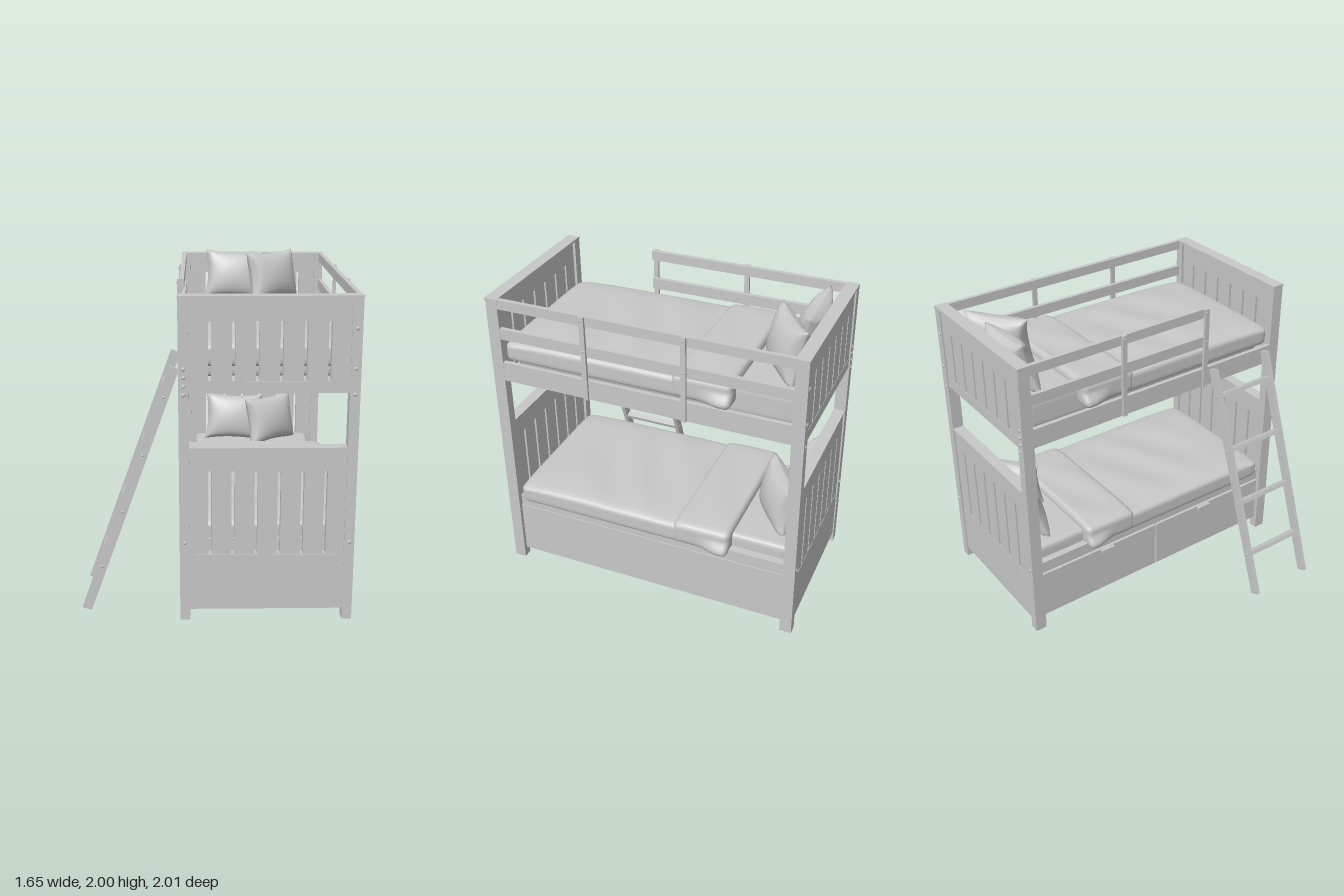
import * as THREE from 'three';
import { mergeVertices } from 'three/addons/utils/BufferGeometryUtils.js';

const grey = new THREE.MeshStandardMaterial({ color: 0xc8c8c8 });
grey.name = 'grey';

function add(parent, name, geometry) {
  const mesh = new THREE.Mesh(geometry, grey);
  mesh.name = name;
  parent.add(mesh);
  return mesh;
}

// Box given by its minimum and maximum corners
function box(parent, name, x0, x1, y0, y1, z0, z1) {
  const mesh = add(parent, name, new THREE.BoxGeometry(x1 - x0, y1 - y0, z1 - z0));
  mesh.position.set((x0 + x1) / 2, (y0 + y1) / 2, (z0 + z1) / 2);
}

// Flat domed bolt head, its thin axis being 'x' or 'z'
function bolt(parent, x, y, z, axis, radius = 0.012) {
  const mesh = add(parent, 'bolt', new THREE.SphereGeometry(radius, 10, 6));
  mesh.position.set(x, y, z);
  mesh.scale[axis] = 0.6;
}

// Moves every vertex by a rule, then recomputes smooth normals
function reshape(geometry, rule) {
  geometry.deleteAttribute('uv');
  geometry.deleteAttribute('normal');
  const g = mergeVertices(geometry);
  const p = g.attributes.position;
  const v = new THREE.Vector3();
  for (let i = 0; i < p.count; i++) {
    rule(v.fromBufferAttribute(p, i));
    p.setXYZ(i, v.x, v.y, v.z);
  }
  g.computeVertexNormals();
  return g;
}

// Rounded soft slab: crowned top, wrinkles, and side flare near its back edge
function soft(parent, name, x0, x1, y0, y1, z0, z1, r, crown = 0, wrinkle = 0, flare = 0) {
  const half = new THREE.Vector3(x1 - x0, y1 - y0, z1 - z0).multiplyScalar(0.5);
  const inner = half.clone().subScalar(r);
  const low = inner.clone().negate();
  const core = new THREE.Vector3();
  const g = new THREE.BoxGeometry(half.x * 2, half.y * 2, half.z * 2, 50, 10, 50);
  const mesh = add(parent, name, reshape(g, (v) => {
    core.copy(v).clamp(low, inner);
    v.sub(core).normalize().multiplyScalar(r).add(core);
    const ex = Math.abs(v.x) / half.x, ez = v.z / half.z;
    if (v.y > 0) {
      const up = v.y / half.y;
      v.y -= up * crown * (ex ** 6 + Math.max(ez, 0) ** 5);
      v.y += up * wrinkle * (1 - ex ** 4) * (1 - ez ** 4)
        * (Math.sin(9 * v.x + 6 * Math.sin(3 * v.z)) * 0.5 + Math.sin(17 * v.z + 5 * v.x) * 0.3 - 0.4);
    }
    const back = THREE.MathUtils.smoothstep(-ez, -0.2, 0.7);
    const down = THREE.MathUtils.smoothstep(-v.y / half.y, -0.2, 0.6);
    if (ex > 0.9) v.x += Math.sign(v.x) * flare * back * down;
  }));
  mesh.position.set((x0 + x1) / 2, (y0 + y1) / 2, (z0 + z1) / 2);
}

// Plump cushion with pinched sides and pointed corners
function pillow(parent, x, y, z, w, h, t, lean, turn, roll) {
  const g = reshape(new THREE.BoxGeometry(2, 2, 2, 24, 24, 1), (v) => {
    const a = 1 - v.x * v.x, b = 1 - v.y * v.y;
    const depth = 0.006 + t / 2 * (a * b) ** 0.42;
    v.set(v.x * w / 2 * (1 - 0.12 * b), v.y * h / 2 * (1 - 0.12 * a), Math.sign(v.z) * depth);
  });
  const mesh = add(parent, 'pillow', g);
  mesh.position.set(x, y, z);
  mesh.rotation.set(lean, turn, roll, 'YXZ');
}

// End panel with six open slots
function endPanel(parent, name, y0, y1, slot0, slot1, z) {
  const s = new THREE.Shape();
  s.moveTo(-0.46, y0).lineTo(0.46, y0).lineTo(0.46, y1).lineTo(-0.46, y1).closePath();
  for (let i = 0; i < 6; i++) {
    const c = (i - 2.5) * 0.135, w = 0.009;
    const hole = new THREE.Path();
    hole.moveTo(c - w, slot0).lineTo(c - w, slot1).lineTo(c + w, slot1).lineTo(c + w, slot0).closePath();
    s.holes.push(hole);
  }
  const g = new THREE.ExtrudeGeometry(s, { depth: 0.048, bevelEnabled: false });
  g.translate(0, 0, z - 0.024);
  add(parent, name, g);
}

// Mattress, duvet, folded cover and two pillows, raised by dy
function bedding(parent, dy) {
  const g = new THREE.Group();
  g.name = 'bedding';
  g.position.y = dy;
  parent.add(g);
  soft(g, 'mattress', -0.425, 0.422, 0.4, 0.59, -0.92, 0.88, 0.03);
  soft(g, 'duvet', -0.492, 0.494, 0.465, 0.62, -0.53, 0.912, 0.036, 0.022, 0.008);
  soft(g, 'foldedCover', -0.497, 0.5, 0.47, 0.642, -0.555, -0.18, 0.038, 0.018, 0.006, 0.036);
  pillow(g, -0.137, 0.745, -0.82, 0.43, 0.35, 0.17, -0.26, 0.03, -0.05);
  pillow(g, 0.133, 0.748, -0.755, 0.42, 0.355, 0.18, -0.22, 0.64, 0);
}

export function createModel() {
  const model = new THREE.Group();
  model.name = 'bunkBed';
  const bed = new THREE.Group();
  bed.name = 'bed';
  bed.position.x = 0.287;
  model.add(bed);

  // Posts, end panels and caps
  for (const e of [-1, 1]) {
    const z = e * 0.958;
    for (const s of [-1, 1]) {
      box(bed, 'post', s * 0.485 - 0.03, s * 0.485 + 0.03, 0, 1.95, z - 0.038, z + 0.038);
      const heights = s < 0 ? [0.5, 1.4, 1.45, 1.5, 1.55] : [0.5, 1.4, 1.55, 1.78];
      for (const y of heights) bolt(bed, s * 0.485, y, e * 0.996, 'z');
    }
    endPanel(bed, 'lowerEndPanel', 0.07, 1.075, 0.425, 0.94, e * 0.962);
    endPanel(bed, 'upperEndPanel', 1.41, 1.95, 1.48, 1.82, e * 0.962);
    box(bed, 'lowerEndBoard', -0.46, 0.46, 0.07, 0.42, z - 0.03, z + 0.034);
    box(bed, 'upperEndBoard', -0.46, 0.46, 1.408, 1.475, z - 0.03, z + 0.034);
    box(bed, 'lowerCap', -0.457, 0.457, 1.07, 1.085, z - 0.036, z + 0.038);
    box(bed, 'upperCap', -0.517, 0.517, 1.948, 1.963, z - 0.04, z + 0.042);
  }

  // Lower base with a plain side and a drawer side
  box(bed, 'lowerBase', -0.468, 0.468, 0.068, 0.5, -0.93, 0.93);
  for (const s of [-1, 1]) {
    const x = s * 0.467;
    box(bed, 'lowerRail', x - 0.015, x + 0.015, 0.43, 0.51, -0.925, 0.925);
  }
  box(bed, 'sidePanel', 0.46, 0.49, 0.066, 0.43, -0.925, 0.925);
  for (const s of [-1, 1]) {
    const c = s * 0.462;
    box(bed, 'drawerFront', -0.49, -0.46, 0.085, 0.42, c - 0.456, c + 0.456);
    box(bed, 'drawerHandle', -0.512, -0.485, 0.395, 0.418, s * 0.41 - 0.05, s * 0.41 + 0.05);
  }

  // Upper base, side rails and guard rails, with a gap for the ladder
  box(bed, 'upperBase', -0.49, 0.49, 1.415, 1.45, -0.93, 0.93);
  for (const s of [-1, 1]) {
    const x = s * 0.5;
    const end = s > 0 ? 0.925 : 0.37;
    box(bed, 'upperSideRail', x - 0.014, x + 0.014, 1.413, 1.54, -0.925, 0.925);
    box(bed, 'guardRail', x - 0.014, x + 0.014, 1.9, 1.962, -0.925, end);
    box(bed, 'guardRail', x - 0.014, x + 0.014, 1.7, 1.77, -0.925, end);
    for (const z of [-0.275, 0.355]) {
      box(bed, 'guardUpright', s * 0.52 - 0.009, s * 0.52 + 0.009, 1.413, 1.962, z - 0.016, z + 0.016);
      for (const y of [1.74, 1.94]) bolt(bed, s * 0.529, y, z, 'x', 0.008);
    }
  }

  bedding(bed, 0);
  bedding(bed, 1.075);

  // Leaning ladder
  const ladder = new THREE.Group();
  ladder.name = 'ladder';
  ladder.position.set(-0.527, 0.77, 0.635);
  ladder.rotation.z = -0.348;
  model.add(ladder);
  for (const s of [-1, 1]) {
    const z = s * 0.219;
    box(ladder, 'ladderRail', -0.03, 0.03, -0.805, 0.805, z - 0.014, z + 0.014);
  }
  for (let i = 0; i < 4; i++) {
    const y = -0.507 + i * 0.376;
    box(ladder, 'rung', -0.023, 0.023, y - 0.013, y + 0.013, -0.21, 0.21);
    for (const s of [-1, 1]) bolt(ladder, 0, y, s * 0.232, 'z', 0.01);
  }
  return model;
}
